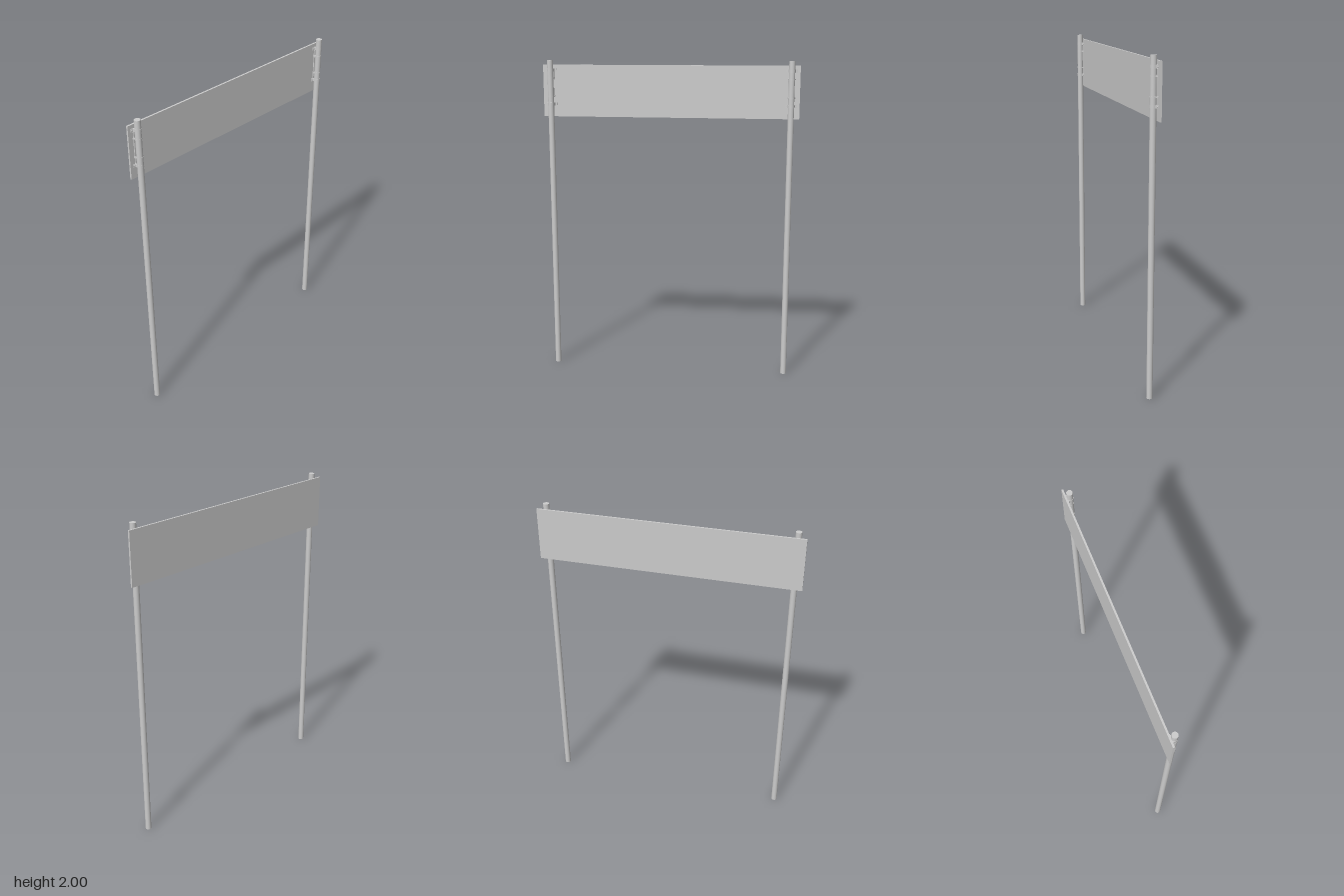
import * as THREE from 'three';

const material = new THREE.MeshStandardMaterial({ color: 0xcccccc });
const POLE_X = 0.753, POLE_Z = 0.006, POLE_R = 0.0185;
const PANEL_FRONT = -0.014;

function add(parent, name, geometry, x, y, z) {
  const mesh = new THREE.Mesh(geometry, material);
  mesh.name = name;
  mesh.position.set(x, y, z);
  parent.add(mesh);
  return mesh;
}

// Strap hugging the pole, flaring into flat feet on the panel (plan outline, extruded upwards)
function strapGeometry(height, foot) {
  const r = POLE_R + 0.001, back = POLE_Z - PANEL_FRONT;
  const shape = new THREE.Shape();
  shape.moveTo(-foot, -back);
  shape.lineTo(-foot, -back + 0.003);
  shape.lineTo(-r - 0.003, -back + 0.005);
  shape.lineTo(-r, -0.008);
  shape.absarc(0, 0, r, Math.PI, 0, true);
  shape.lineTo(r, -0.008);
  shape.lineTo(r + 0.003, -back + 0.005);
  shape.lineTo(foot, -back + 0.003);
  shape.lineTo(foot, -back);
  const geometry = new THREE.ExtrudeGeometry(shape, { depth: height, bevelEnabled: false, curveSegments: 20 });
  // Plan y becomes +z; the extrusion runs along y
  geometry.translate(0, 0, -height / 2);
  geometry.rotateX(Math.PI / 2);
  return geometry;
}

export function createModel() {
  const model = new THREE.Group();
  model.name = 'signOnTwoPoles';

  add(model, 'signPanel', new THREE.BoxGeometry(1.61, 0.324, 0.011), 0, 1.81, PANEL_FRONT - 0.0055);

  for (const side of [-1, 1]) {
    const post = new THREE.Group();
    post.name = side > 0 ? 'leftPost' : 'rightPost';
    post.position.x = side * POLE_X;
    model.add(post);

    add(post, 'pole', new THREE.CylinderGeometry(POLE_R, POLE_R, 2, 24), 0, 1, POLE_Z);

    // Bracket channel between panel and pole
    add(post, 'bracketChannel', new THREE.BoxGeometry(0.04, 0.19, 0.006), 0, 1.833, PANEL_FRONT + 0.003);

    // Outer clamps with bolts, and narrower inner straps
    for (const y of [1.94, 1.727]) {
      add(post, 'clamp', strapGeometry(0.018, 0.034), 0, y, POLE_Z);
      for (const s of [-1, 1]) {
        const bolt = new THREE.CylinderGeometry(0.004, 0.004, 0.006, 6).rotateX(Math.PI / 2);
        add(post, 'clampBolt', bolt, s * 0.027, y, PANEL_FRONT + 0.005);
      }
    }
    for (const y of [1.89, 1.777]) {
      add(post, 'innerStrap', strapGeometry(0.008, 0.024), 0, y, POLE_Z);
    }
  }
  return model;
}
